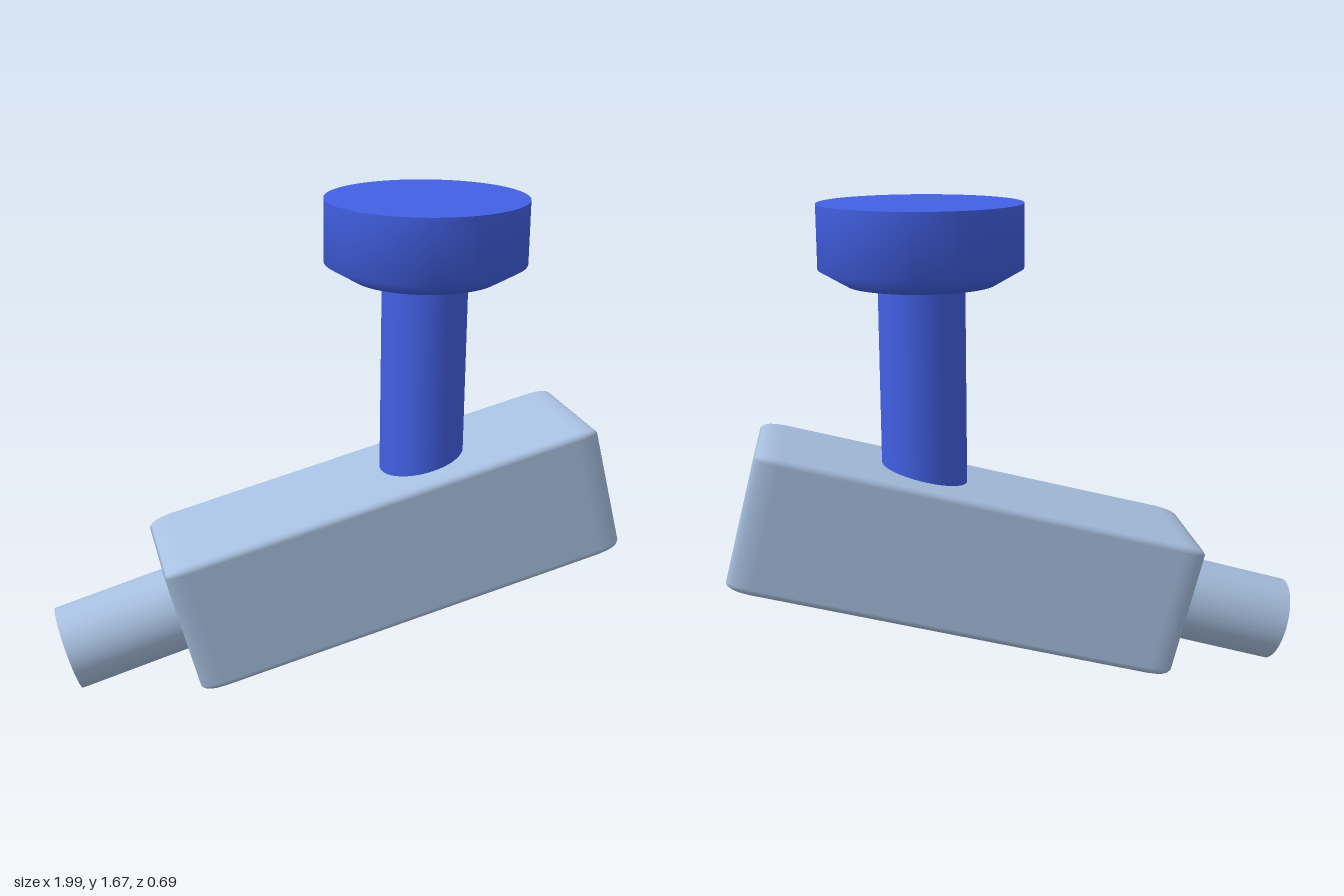
import * as THREE from 'three';
import { RoundedBoxGeometry } from 'three/addons/geometries/RoundedBoxGeometry.js';

const steel = new THREE.MeshStandardMaterial({ color: 0xa8c0e0 });
const blue = new THREE.MeshStandardMaterial({ color: 0x4260e4 });

function part(group, name, geometry, material, x, y, tilt = 0) {
  const mesh = new THREE.Mesh(geometry, material);
  mesh.name = name;
  mesh.position.set(x, y, 0);
  mesh.rotation.z = THREE.MathUtils.degToRad(tilt);
  group.add(mesh);
  return mesh;
}

export function createModel() {
  const group = new THREE.Group();
  group.name = 'valve';

  // Tilted body: a rounded cube stretched along its length
  const body = new RoundedBoxGeometry(0.487, 0.487, 0.487, 2, 0.026);
  body.scale(1.57 / 0.487, 1, 1);
  part(group, 'body', body, steel, 0.177, 0.465, 14.5);

  // Hollow nozzle, starting at its open mouth and running into the body
  const ring = new THREE.Shape().absarc(0, 0, 0.148, 0, Math.PI * 2);
  ring.holes.push(new THREE.Path().absarc(0, 0, 0.118, 0, Math.PI * 2, true));
  const nozzle = new THREE.ExtrudeGeometry(ring, { depth: 0.5, bevelEnabled: false, curveSegments: 48 });
  nozzle.rotateY(Math.PI / 2);
  part(group, 'nozzle', nozzle, steel, -0.96, 0.147, 16);

  // Upright stem, sunk into the body
  part(group, 'stem', new THREE.CylinderGeometry(0.147, 0.147, 0.9, 48), blue, 0.313, 0.96);

  // Round knob with a chamfered lower rim and flat top
  const profile = [[0, 1.405], [0.25, 1.405], [0.345, 1.46], [0.345, 1.675]];
  const knob = new THREE.LatheGeometry(profile.map(([r, y]) => new THREE.Vector2(r, y)), 64);
  part(group, 'knob', knob, blue, 0.313, 0);
  const cap = new THREE.CircleGeometry(0.345, 64).rotateX(-Math.PI / 2);
  part(group, 'knobTop', cap, blue, 0.313, 1.675);

  return group;
}
